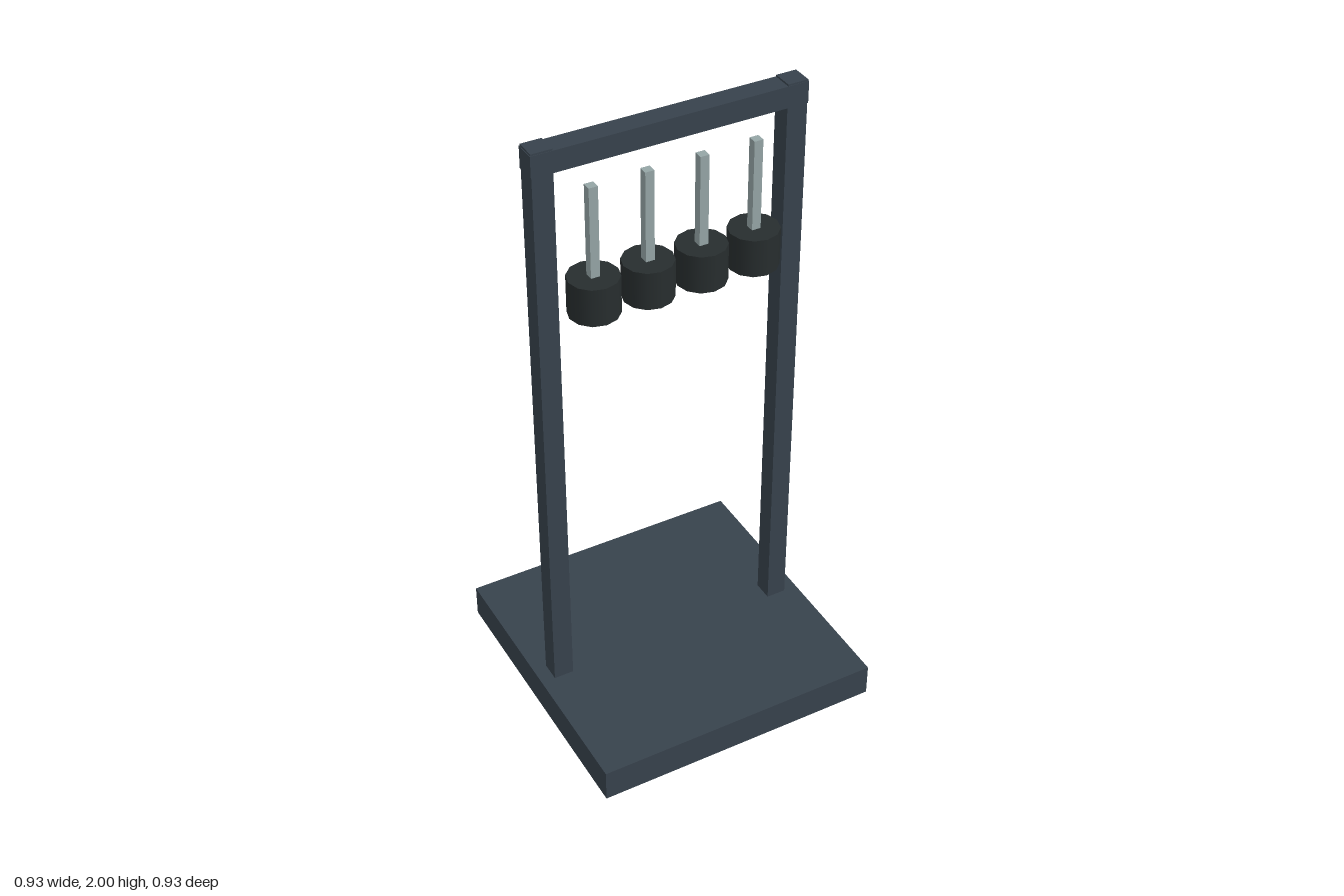
import * as THREE from 'three';

const frameMat = new THREE.MeshStandardMaterial({ color: 0x37424c });
const weightMat = new THREE.MeshStandardMaterial({ color: 0x272d2e });
const rodMat = new THREE.MeshStandardMaterial({ color: 0x95a5a6 });

function add(parent, name, geometry, material, x, y, z) {
  const mesh = new THREE.Mesh(geometry, material);
  mesh.name = name;
  mesh.position.set(x, y, z);
  parent.add(mesh);
  return mesh;
}

export function createModel() {
  const model = new THREE.Group();
  model.name = 'hangingWeightStand';

  // Square base plate
  add(model, 'base', new THREE.BoxGeometry(0.934, 0.107, 0.934), frameMat, 0, 0.0535, 0);

  // Two uprights joined by a slightly wider, slightly lower crossbar
  const postBottom = 0.1, postTop = 2;
  const postGeo = new THREE.BoxGeometry(0.064, postTop - postBottom, 0.064);
  for (const [name, side] of [['leftPost', 1], ['rightPost', -1]]) {
    add(model, name, postGeo, frameMat, side * 0.39, (postTop + postBottom) / 2, 0);
  }
  add(model, 'crossbar', new THREE.BoxGeometry(0.848, 0.067, 0.067), frameMat, 0, 1.961, 0);

  // Row of four weights, each with a square rod, set just in front of the frame
  const weightGeo = new THREE.CylinderGeometry(0.077, 0.077, 0.12, 12);
  const rodGeo = new THREE.BoxGeometry(0.028, 0.288, 0.028);
  for (let i = 0; i < 4; i++) {
    const hanger = new THREE.Group();
    hanger.name = `hanger${i + 1}`;
    hanger.position.set((i - 1.5) * 0.17, 0, 0.042);
    add(hanger, 'weight', weightGeo, weightMat, 0, 1.52, 0);
    add(hanger, 'rod', rodGeo, rodMat, 0, 1.722, 0);
    model.add(hanger);
  }

  return model;
}
